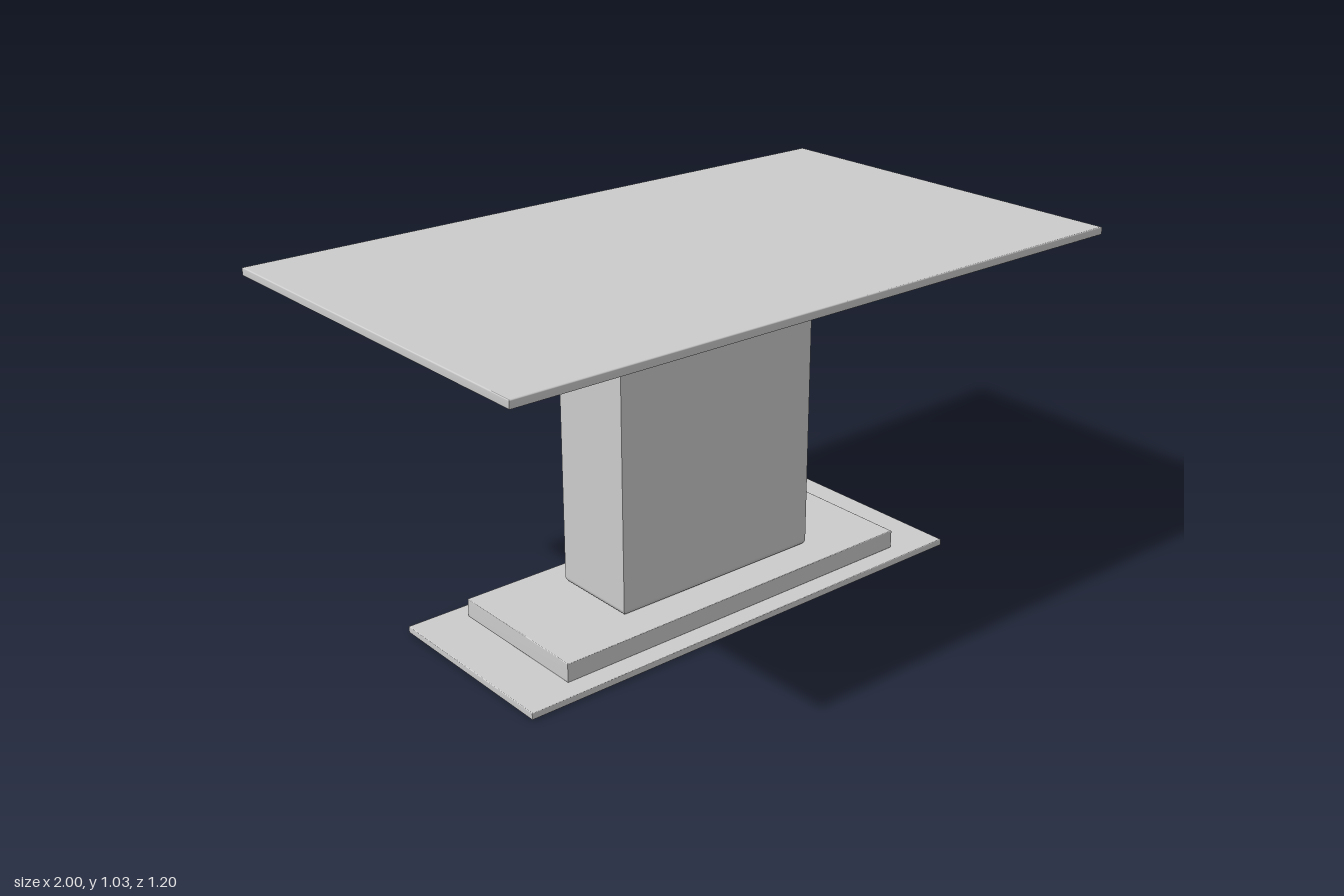
import * as THREE from 'three';

const material = new THREE.MeshStandardMaterial({ color: 0xcccccc });

// Box from y0 to y1 whose top and bottom rims are rounded, with mitred corners
function softBox(name, width, depth, y0, y1, radius, steps = 6) {
  const height = y1 - y0;
  const rows = 2 * steps + 1;
  const geometry = new THREE.BoxGeometry(width, height, depth, 1, rows, 1);
  const pos = geometry.attributes.position;
  for (let i = 0; i < pos.count; i++) {
    const row = Math.round((pos.getY(i) / height + 0.5) * rows);
    const upper = row > steps;
    const angle = ((upper ? rows - row : row) / steps) * Math.PI / 2;
    const inset = radius * (1 - Math.sin(angle));
    const rise = radius * (1 - Math.cos(angle));
    pos.setXYZ(
      i,
      Math.sign(pos.getX(i)) * (width / 2 - inset),
      upper ? y1 - rise : y0 + rise,
      Math.sign(pos.getZ(i)) * (depth / 2 - inset)
    );
  }
  geometry.computeVertexNormals();
  const mesh = new THREE.Mesh(geometry, material);
  mesh.name = name;
  return mesh;
}

export function createModel() {
  const table = new THREE.Group();
  table.name = 'pedestalTable';
  table.add(
    // Stepped foot
    softBox('basePlate', 1.525, 0.585, 0, 0.02, 0.002, 2),
    softBox('plinth', 1.21, 0.465, 0.02, 0.076, 0.002, 2),
    // Pedestal and the block under the top
    softBox('column', 0.68, 0.268, 0.076, 0.909, 0.02),
    softBox('topSupport', 1.365, 0.822, 0.908, 1.007, 0.022),
    // Thin top
    softBox('tableTop', 2, 1.204, 1.007, 1.03, 0.003, 2)
  );
  return table;
}
